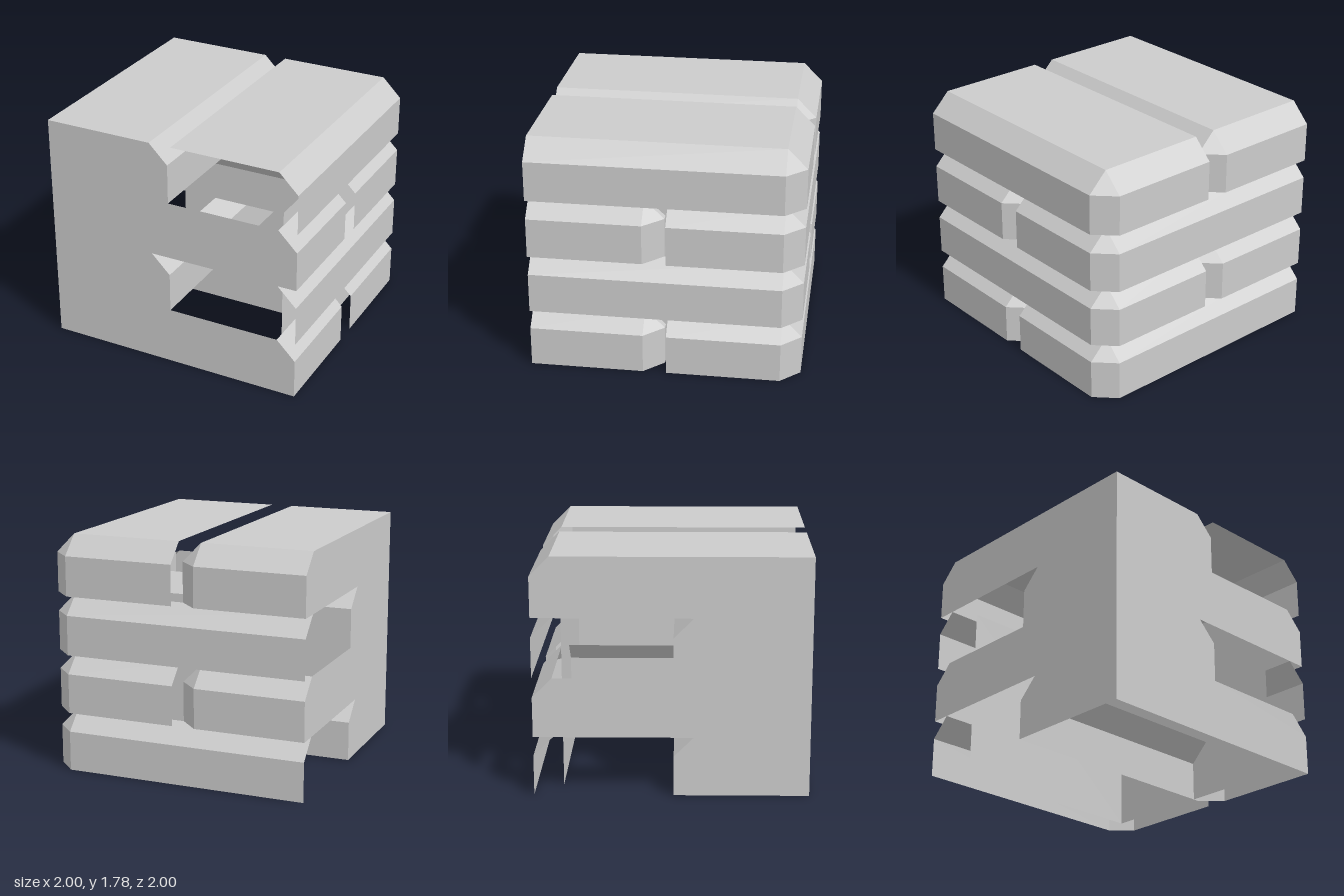
import * as THREE from 'three';

const H = 0.444;      // course height
const BEVEL = 0.145;  // edge chamfer
const GAP = 0.014;    // half of the joint between blocks
const COURSES = 4;

// Open strip of quads between rings of equal length, facing outwards
function strips(rings) {
  const pos = [];
  for (let r = 0; r < rings.length - 1; r++) {
    for (let i = 0; i < rings[r].length - 1; i++) {
      const a = rings[r][i], b = rings[r][i + 1];
      const c = rings[r + 1][i], d = rings[r + 1][i + 1];
      pos.push(...a, ...c, ...b, ...b, ...c, ...d);
    }
  }
  const g = new THREE.BufferGeometry();
  g.setAttribute('position', new THREE.Float32BufferAttribute(pos, 3));
  g.computeVertexNormals();
  return g;
}

// Back and right sides of a block, with chamfered corner and top edge
function blockShell(xl, xr, zb, zf, y) {
  const c = BEVEL, xi = xr - c, zi = zb + c;
  const lower = (h) => [[xl, h, zb], [xi, h, zb], [xr, h, zi], [xr, h, zf]];
  const t = y + H;
  return strips([lower(y), lower(t - c), [[xl, t, zi], [xi, t, zi], [xi, t, zi], [xi, t, zf]]]);
}

// Flat cut end whose free edge steps in and out with the courses
function cutFace(longOnEven, mirror) {
  const pts = [[-1, 0]];
  for (let i = 0; i < COURSES; i++) {
    const r = (i % 2 === 0) === longOnEven ? 1 : -GAP;
    pts.push([r, i * H], [r, (i + 1) * H - BEVEL], [r - BEVEL, (i + 1) * H]);
  }
  pts.push([-1, COURSES * H]);
  return new THREE.ShapeGeometry(new THREE.Shape(pts.map(([u, v]) => new THREE.Vector2(u * mirror, v))));
}

export function createModel() {
  const model = new THREE.Group();
  const stone = new THREE.MeshStandardMaterial({ color: 0xcccccc, side: THREE.DoubleSide });
  stone.name = 'grey stone';
  const add = (name, geometry) => {
    const m = new THREE.Mesh(geometry, stone);
    m.name = name;
    model.add(m);
  };

  // Courses alternate between front/back pairs and left/right pairs
  for (let i = 0; i < COURSES; i++) {
    const y = i * H;
    if (i % 2 === 0) {
      add('frontBlock', blockShell(-1, 1, GAP, 1, y));
      add('backBlock', blockShell(-1, 1, -1, -GAP, y));
    } else {
      add('innerBlock', blockShell(-1, -GAP, -1, 1, y));
      add('outerBlock', blockShell(GAP, 1, -1, 1, y));
    }
  }

  // Caps of the top course
  for (const [x0, x1] of [[-1, -GAP - BEVEL], [GAP, 1 - BEVEL]]) {
    const cap = new THREE.PlaneGeometry(x1 - x0, 2 - BEVEL).rotateX(-Math.PI / 2);
    add('topCap', cap.translate((x0 + x1) / 2, COURSES * H, BEVEL / 2));
  }

  // Flat cut ends
  add('frontCutFace', cutFace(true, 1).translate(0, 0, 1));
  add('sideCutFace', cutFace(false, -1).rotateY(-Math.PI / 2).translate(-1, 0, 0));

  // Mortar sheets behind the joints
  const ring = (h) => [[-0.8, h, -0.8], [0.8, h, -0.8], [0.8, h, 0.8]];
  add('mortarCore', strips([ring(0), ring(1.36)]));

  return model;
}
